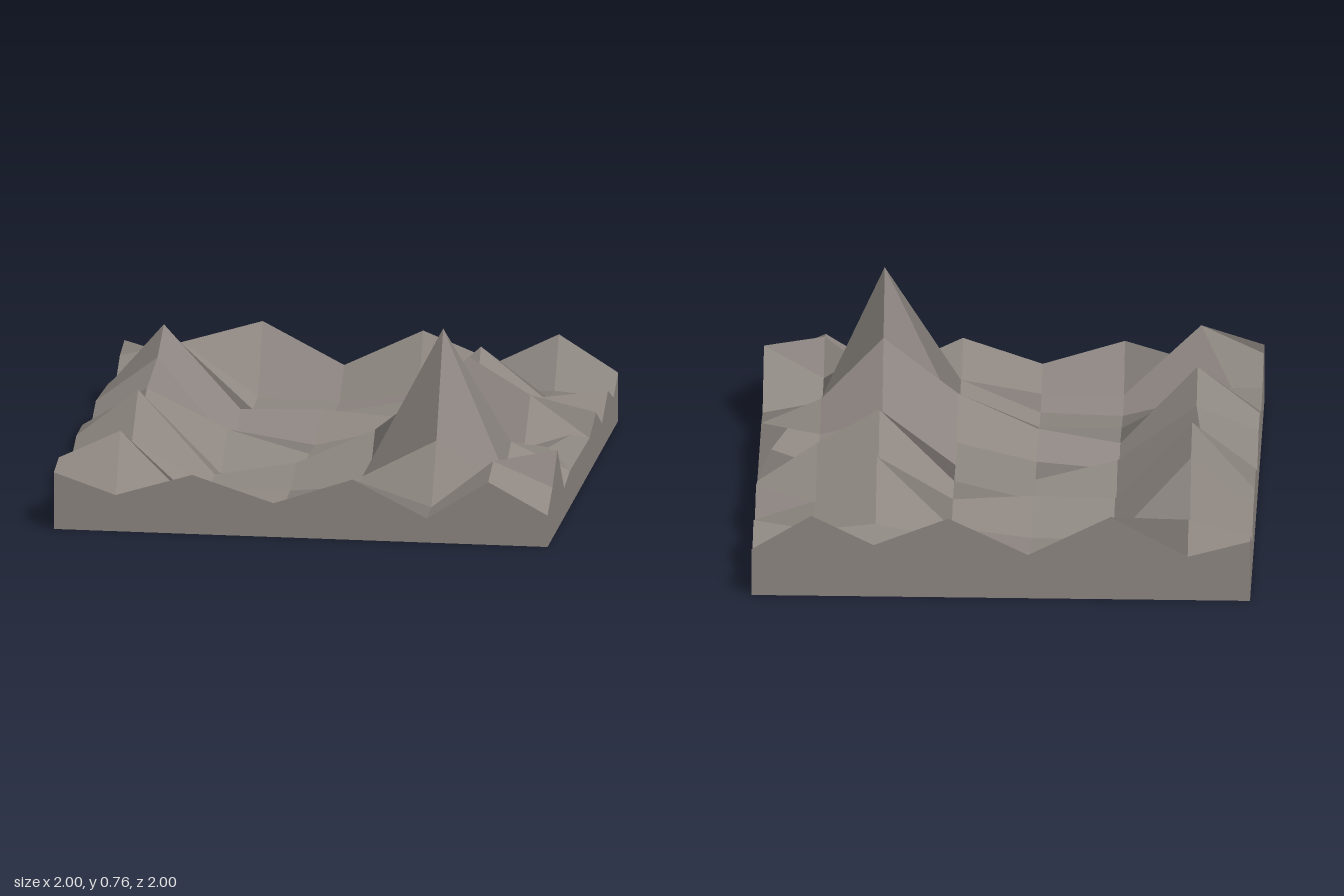
import * as THREE from 'three';

// Grid lines across (x) and from back to front (z)
const XS = [-1, -0.75, -0.44, -0.11, 0.21, 0.51, 0.76, 1];
const ZS = [-1, -0.87, -0.71, -0.54, -0.37, -0.19, -0.01, 0.19, 0.36, 0.53, 0.72, 0.86, 1];

// Terrain heights: one row per z line, left to right along x
const HEIGHTS = [
  [0.26, 0.19, 0.36, 0.19, 0.345, 0.225, 0.35, 0.20],
  [0.23, 0.295, 0.08, 0.07, 0.12, 0.09, 0.15, 0.13],
  [0.12, 0.09, 0.07, 0.07, 0.13, 0.19, 0.16, 0.20],
  [0.20, 0.42, 0.06, 0.06, 0.10, 0.41, 0.21, 0.11],
  [0.21, 0.50, 0.16, 0.17, 0.15, 0.19, 0.13, 0.20],
  [0.22, 0.41, 0.04, 0.07, 0.15, 0.46, 0.31, 0.14],
  [0.13, 0.305, 0.17, 0.08, 0.14, 0.17, 0.13, 0.20],
  [0.22, 0.31, 0.04, 0.07, 0.15, 0.24, 0.18, 0.20],
  [0.22, 0.42, 0.08, 0.14, 0.29, 0.53, 0.26, 0.15],
  [0.15, 0.25, 0.07, 0.07, 0.10, 0.765, 0.17, 0.12],
  [0.17, 0.14, 0.04, 0.05, 0.19, 0.35, 0.19, 0.33],
  [0.26, 0.38, 0.07, 0.07, 0.09, 0.11, 0.31, 0.21],
  [0.235, 0.15, 0.245, 0.14, 0.25, 0.10, 0.26, 0.13],
];

// Points pushed off the regular grid: 'column,row' to x and z
const SHIFTED = {
  '1,2': [-0.75, -0.66],
  '1,6': [-0.78, -0.10],
  '1,7': [-0.75, 0.22],
  '1,10': [-0.88, 0.76],
  '5,6': [0.51, -0.13],
  '7,6': [0.95, -0.01],
  '7,7': [0.89, 0.20],
};

const LX = XS.length - 1, LZ = ZS.length - 1;

function top(i, j) {
  const [x, z] = SHIFTED[`${i},${j}`] ?? [XS[i], ZS[j]];
  return [x, HEIGHTS[j][i], z];
}
const foot = (i, j) => [XS[i], 0, ZS[j]];

// Faceted mesh from four-cornered faces, corners counter-clockwise,
// each face shaded evenly with one normal
function facetMesh(name, quads, material) {
  const pos = [], nor = [];
  const u = new THREE.Vector3(), v = new THREE.Vector3();
  for (const [a, b, c, d] of quads) {
    pos.push(...a, ...b, ...d, ...b, ...c, ...d);
    u.fromArray(c).sub(v.fromArray(a));
    v.fromArray(d).sub(new THREE.Vector3(...b));
    u.cross(v).normalize();
    for (let k = 0; k < 6; k++) nor.push(u.x, u.y, u.z);
  }
  const geo = new THREE.BufferGeometry();
  geo.setAttribute('position', new THREE.Float32BufferAttribute(pos, 3));
  geo.setAttribute('normal', new THREE.Float32BufferAttribute(nor, 3));
  const mesh = new THREE.Mesh(geo, material);
  mesh.name = name;
  return mesh;
}

export function createModel() {
  const rock = new THREE.MeshStandardMaterial({ color: 0x8d8681 });
  rock.name = 'rockGrey';

  // Mountain surface
  const surface = [];
  for (let j = 0; j < LZ; j++) {
    for (let i = 0; i < LX; i++) {
      surface.push([top(i, j), top(i, j + 1), top(i + 1, j + 1), top(i + 1, j)]);
    }
  }

  // Side walls follow the rim: front, right (skipping the notch), back, left
  const rim = [];
  for (let i = 0; i < LX; i++) rim.push([i, LZ]);
  for (let j = LZ; j > 0; j--) if (j !== 6 && j !== 7) rim.push([LX, j]);
  for (let i = LX; i > 0; i--) rim.push([i, 0]);
  for (let j = 0; j < LZ; j++) rim.push([0, j]);
  const walls = rim.map((a, k) => {
    const b = rim[(k + 1) % rim.length];
    return [foot(...a), foot(...b), top(...b), top(...a)];
  });

  // Sloping ledge that closes the notch in the right rim
  const ledge = [[top(LX, 8), top(LX, 5), top(LX, 6), top(LX, 7)]];

  // Flat underside
  const underside = [[foot(0, LZ), foot(0, 0), foot(LX, 0), foot(LX, LZ)]];

  const group = new THREE.Group();
  group.name = 'mountainTerrain';
  group.add(
    facetMesh('mountainSurface', surface, rock),
    facetMesh('sideWalls', walls, rock),
    facetMesh('rimLedge', ledge, rock),
    facetMesh('underside', underside, rock),
  );
  return group;
}
